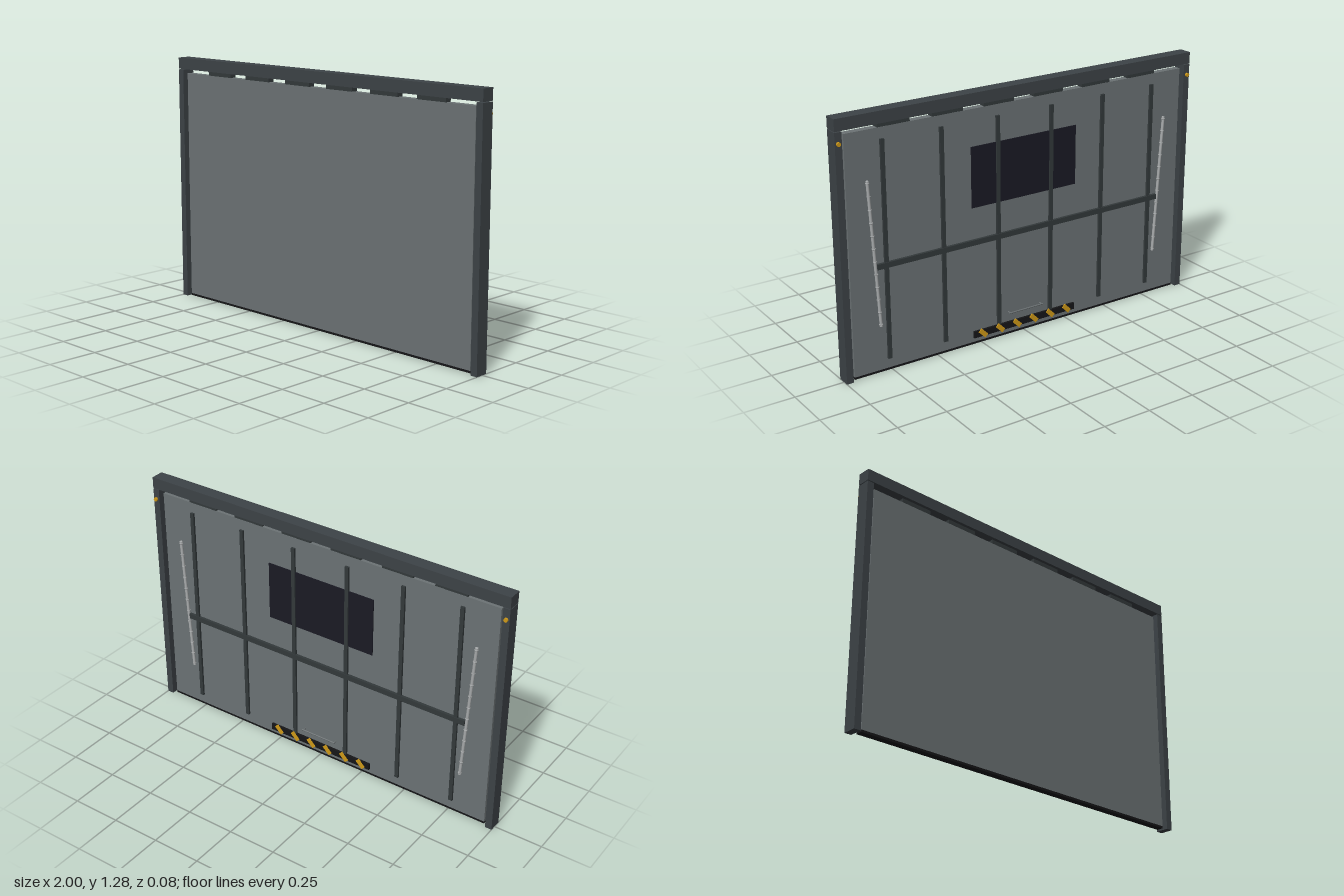
import * as THREE from 'three';

export function createModel() {
  const root = new THREE.Group();
  root.name = 'shutterDoor';

  const mat = (name, color, flat = false) => {
    const m = new THREE.MeshStandardMaterial({ color, flatShading: flat });
    m.name = name;
    return m;
  };
  const frame = mat('frame grey', 0x3d4347);
  const panelGrey = mat('panel grey', 0x6c7375);
  const ribGrey = mat('rib grey', 0x33393b);
  const glass = mat('dark window', 0x1a1a24);
  const black = mat('black rubber', 0x161618);
  const yellow = mat('warning yellow', 0xd09a18);
  const steel = mat('steel', 0xa8abac);
  const handleGrey = mat('handle grey', 0x6a7072);

  const add = (name, geo, material, x, y, z, parent = root) => {
    const m = new THREE.Mesh(geo, material);
    m.name = name;
    m.position.set(x, y, z);
    parent.add(m);
    return m;
  };
  // Box given by its centre in x, and its y and z ranges
  const box = (name, material, x, w, y0, y1, z0, z1) =>
    add(name, new THREE.BoxGeometry(w, y1 - y0, z1 - z0), material, x, (y0 + y1) / 2, (z0 + z1) / 2);

  const backZ = -0.0125; // back face of the door panel

  // Frame
  box('lintel', frame, 0, 2, 1.222, 1.28, -0.029, 0.039);
  for (const s of [-1, 1]) box('post', frame, s * 0.9825, 0.035, 0, 1.218, -0.029, 0.039);

  // Door leaf with its bottom seal
  box('panel', panelGrey, 0, 1.9, 0.014, 1.2, backZ, 0.0225);
  box('bottomSeal', black, 0, 1.9, 0.003, 0.014, backZ, 0.0225);

  // Six blocks under the lintel and six upright ribs on the back
  for (let i = 0; i < 6; i++) {
    const k = i - 2.5;
    box('topBlock', ribGrey, k * 0.28, 0.166, 1.2, 1.222, -0.012, 0.022);
    box('rib', ribGrey, k * 0.306, 0.02, 0.065, 1.147, -0.0235, backZ);
  }
  box('crossBar', ribGrey, 0, 1.63, 0.528, 0.555, -0.0265, backZ);

  // Window set behind the ribs
  box('window', glass, 0, 0.6, 0.715, 1.018, -0.0175, backZ);

  // Warning strip with slanted stripes
  box('warningStrip', black, 0, 0.6, 0.038, 0.072, -0.0245, backZ);
  for (let i = 0; i < 6; i++) {
    const stripe = add('warningStripe', new THREE.BoxGeometry(0.024, 0.052, 0.005), yellow,
      (i - 2.5) * 0.1, 0.055, -0.0255);
    stripe.rotation.z = -Math.PI / 4;
  }

  // Pull handle
  const bar = add('handleBar', new THREE.CylinderGeometry(0.004, 0.004, 0.2, 12), handleGrey, 0, 0.122, -0.031);
  bar.rotation.z = Math.PI / 2;
  for (const s of [-1, 1]) {
    const foot = add('handleFoot', new THREE.CylinderGeometry(0.004, 0.004, 0.019, 10), handleGrey,
      s * 0.094, 0.122, -0.022);
    foot.rotation.x = Math.PI / 2;
  }

  // Tilted springs and the small lamps on the posts
  for (const s of [-1, 1]) {
    const spring = new THREE.Group();
    spring.name = 'spring';
    spring.position.set(s * 0.827, 0.603, -0.0205);
    spring.rotation.z = -s * 0.058;
    root.add(spring);
    add('springCore', new THREE.CylinderGeometry(0.0075, 0.0075, 0.725, 14), steel, 0, 0, 0, spring);
    for (let i = 0; i < 12; i++) {
      const ring = add('springCoil', new THREE.TorusGeometry(0.0075, 0.0025, 6, 14), steel,
        0, (i - 5.5) * 0.064, 0, spring);
      ring.rotation.x = Math.PI / 2;
    }
    const lamp = add('lamp', new THREE.CylinderGeometry(0.01, 0.01, 0.011, 16), yellow, s * 0.984, 1.165, -0.0335);
    lamp.rotation.x = Math.PI / 2;
  }
  return root;
}
